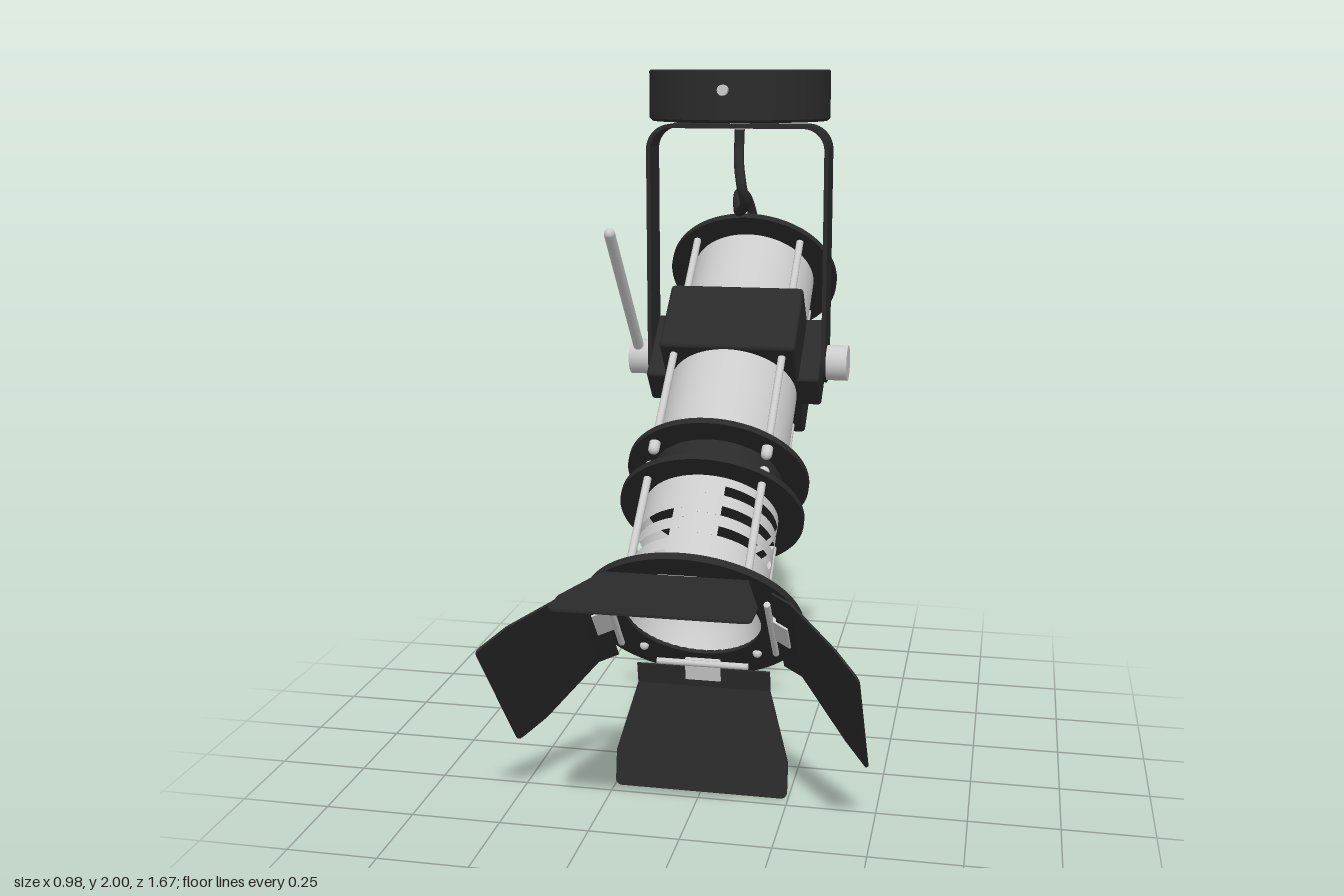
import * as THREE from 'three';
import { RoundedBoxGeometry } from 'three/addons/geometries/RoundedBoxGeometry.js';

const metal = new THREE.MeshStandardMaterial({ color: 0xcccccc });
const thinMetal = new THREE.MeshStandardMaterial({ color: 0xcccccc, side: THREE.DoubleSide });
const black = new THREE.MeshStandardMaterial({ color: 0x2a2a2a });

function add(parent, name, geometry, material, x = 0, y = 0, z = 0) {
  const mesh = new THREE.Mesh(geometry, material);
  mesh.name = name;
  mesh.position.set(x, y, z);
  parent.add(mesh);
  return mesh;
}

// Cylinder lying along z
const rod = (r, length, sides = 48) => new THREE.CylinderGeometry(r, r, length, sides).rotateX(Math.PI / 2);
// Cylinder lying along x
const axle = (r, length, sides = 32) => new THREE.CylinderGeometry(r, r, length, sides).rotateZ(Math.PI / 2);

const PIVOT_Y = 1.142, PIVOT_Z = -0.388;

function ceilingMount() {
  const g = new THREE.Group();
  g.name = 'ceilingMount';
  g.position.z = PIVOT_Z;
  // Canopy with softened edges
  const profile = [[0, 1.855], [0.257, 1.855], [0.265, 1.863], [0.265, 1.996], [0.261, 2], [0, 2]];
  const flat = black.clone();
  const canopy = profile.slice(1).map((p, i) => [profile[i], p]);
  for (const pair of canopy)
    add(g, 'canopy', new THREE.LatheGeometry(pair.map(p => new THREE.Vector2(...p)), 64), flat);
  for (const s of [-1, 1]) add(g, 'canopyScrew', rod(0.015, 0.03, 16), metal, 0, 1.945, s * 0.27);
  add(g, 'cableGland', new THREE.CylinderGeometry(0.03, 0.03, 0.03, 20), metal, 0, 1.845, 0);

  // Flat strip bent into an upside-down U
  const w = 0.27, t = 0.012, top = 1.845, r = 0.075;
  const u = new THREE.Shape();
  u.moveTo(-w, PIVOT_Y).lineTo(-w + t, PIVOT_Y).lineTo(-w + t, top - r);
  u.absarc(-w + r, top - r, r - t, Math.PI, Math.PI / 2, true);
  u.absarc(w - r, top - r, r - t, Math.PI / 2, 0, true);
  u.lineTo(w - t, PIVOT_Y).lineTo(w, PIVOT_Y).lineTo(w, top - r);
  u.absarc(w - r, top - r, r, 0, Math.PI / 2, false);
  u.absarc(-w + r, top - r, r, Math.PI / 2, Math.PI, false);
  add(g, 'yoke', new THREE.ExtrudeGeometry(u, { depth: 0.12, bevelEnabled: false, curveSegments: 10 }), black, 0, 0, -0.06);

  // Rounded yoke ends and pivot knobs
  for (const s of [-1, 1]) {
    add(g, 'yokeEnd', axle(0.06, t), black, s * (w - t / 2), PIVOT_Y, 0);
    add(g, 'knob', axle(0.053, 0.065), metal, s * 0.3, PIVOT_Y, 0);
  }
  // Locking lever on the right knob
  const lever = add(g, 'lever', new THREE.CapsuleGeometry(0.016, 0.53, 6, 16), metal, -0.305, PIVOT_Y + 0.212, 0.187);
  lever.rotation.x = Math.atan2(0.373, 0.423);
  return g;
}

function cable() {
  const pts = [[0, 1.85, -0.39], [0, 1.77, -0.375], [0.01, 1.73, -0.32], [0.025, 1.67, -0.28],
    [0.03, 1.62, -0.31], [0, 1.59, -0.4], [-0.02, 1.585, -0.48], [-0.04, 1.625, -0.6],
    [-0.035, 1.6, -0.73], [-0.02, 1.52, -0.775], [-0.005, 1.43, -0.745], [0, 1.35, -0.66]];
  const path = new THREE.CatmullRomCurve3(pts.map(p => new THREE.Vector3(...p)));
  const mesh = new THREE.Mesh(new THREE.TubeGeometry(path, 100, 0.015, 12), black);
  mesh.name = 'cable';
  return mesh;
}

// Front tube: two half shells, each with three vent slots
function ventedTube(parent) {
  const R = 0.19, start = 0.56, end = 0.9, half = 0.015, lip = 0.35;
  const arc = (z0, z1, a, sweep) => add(parent, 'ventedTube',
    new THREE.CylinderGeometry(R, R, z1 - z0, Math.max(4, Math.round(sweep * 9)), 1, true, a, sweep).rotateX(Math.PI / 2),
    thinMetal, 0, 0, (z0 + z1) / 2);
  for (const [a, slots] of [[0, [0.61, 0.675, 0.74]], [Math.PI, [0.69, 0.755, 0.82]]]) {
    let z = start;
    for (const s of slots) {
      arc(z, s - half, a, Math.PI);
      arc(s - half, s + half, a, lip);
      arc(s - half, s + half, a + Math.PI - lip, lip);
      z = s + half;
    }
    arc(z, end, a, Math.PI);
  }
}

// One hinged flap, pointing up; the caller turns it about the lamp axis
function barnDoor() {
  const g = new THREE.Group();
  g.name = 'barnDoor';
  add(g, 'hingePin', axle(0.009, 0.26, 12), metal, 0, 0.217, 0.928);
  const bend = { depth: 0.006, bevelEnabled: false, curveSegments: 6 };
  const tab = add(g, 'hingePlate', new THREE.BoxGeometry(0.1, 0.065, 0.014), metal, 0, 0.24, 0.933);
  tab.rotation.x = 0.5;
  const root = add(g, 'doorRoot', new THREE.BoxGeometry(0.38, 0.066, 0.006), black, 0, 0.265, 0.945);
  root.rotation.x = 0.5;

  const s = new THREE.Shape();
  s.moveTo(-0.19, 0).lineTo(0.19, 0).lineTo(0.247, 0.2).lineTo(0.247, 0.282);
  s.quadraticCurveTo(0.247, 0.302, 0.227, 0.302).lineTo(-0.227, 0.302);
  s.quadraticCurveTo(-0.247, 0.302, -0.247, 0.282).lineTo(-0.247, 0.2);
  const flap = add(g, 'doorFlap', new THREE.ExtrudeGeometry(s, bend), black, 0, 0.293, 0.958);
  flap.rotation.x = Math.atan2(0.23, 0.195);
  return g;
}

function lampHead() {
  const g = new THREE.Group();
  g.name = 'lampHead';
  g.position.set(0, PIVOT_Y, PIVOT_Z);
  g.rotation.x = THREE.MathUtils.degToRad(40);

  // Body tubes and flanges
  add(g, 'rearTube', rod(0.19, 0.79, 64), metal, 0, 0, 0.045);
  add(g, 'neck', rod(0.187, 0.13, 64), black, 0, 0, 0.4975);
  for (const z of [-0.35, 0.436, 0.559]) add(g, 'flange', rod(0.262, 0.018, 64), black, 0, 0, z);
  ventedTube(g);

  // Front ring
  const ring = new THREE.Shape().absarc(0, 0, 0.3, 0, Math.PI * 2);
  ring.holes.push(new THREE.Path().absarc(0, 0, 0.186, 0, Math.PI * 2, true));
  add(g, 'frontRing', new THREE.ExtrudeGeometry(ring, { depth: 0.02, bevelEnabled: false, curveSegments: 48 }), black, 0, 0, 0.892);

  // Reflector bowl and bulb
  const bowl = [[0.02, 0.7], [0.06, 0.71], [0.11, 0.745], [0.15, 0.795], [0.175, 0.85], [0.187, 0.905]];
  add(g, 'reflector', new THREE.LatheGeometry(bowl.map(p => new THREE.Vector2(...p)), 48).rotateX(Math.PI / 2), thinMetal);
  add(g, 'bulb', new THREE.SphereGeometry(0.028, 24, 16), metal, 0, 0, 0.8);
  add(g, 'bulbStem', rod(0.02, 0.11, 20), metal, 0, 0, 0.745);

  // Collar with side lugs
  add(g, 'collar', new RoundedBoxGeometry(0.4, 0.4, 0.24, 3, 0.012), black);
  for (const s of [-1, 1])
    add(g, 'collarLug', new RoundedBoxGeometry(0.08, 0.12, 0.24, 3, 0.01), black, s * 0.22, 0, 0);

  // Tie rods with domed nuts at both ends
  for (const x of [-0.16, 0.16]) for (const y of [-0.16, 0.16]) {
    for (const [z0, z1] of [[-0.35, 0.436], [0.559, 0.9]])
      add(g, 'tieRod', rod(0.011, z1 - z0, 14), metal, x, y, (z0 + z1) / 2);
    for (const z of [-0.368, 0.455, 0.54])
      add(g, 'rodNut', new THREE.CapsuleGeometry(0.016, 0.025, 6, 14).rotateX(Math.PI / 2), metal, x, y, z);
    add(g, 'ringScrew', new THREE.SphereGeometry(0.013, 14, 10), metal, x, y, 0.914);
  }

  for (let i = 0; i < 4; i++) {
    const door = barnDoor();
    door.rotation.z = i * Math.PI / 2;
    g.add(door);
  }
  return g;
}

export function createModel() {
  const model = new THREE.Group();
  model.name = 'spotlight';
  model.add(ceilingMount(), cable(), lampHead());
  return model;
}
